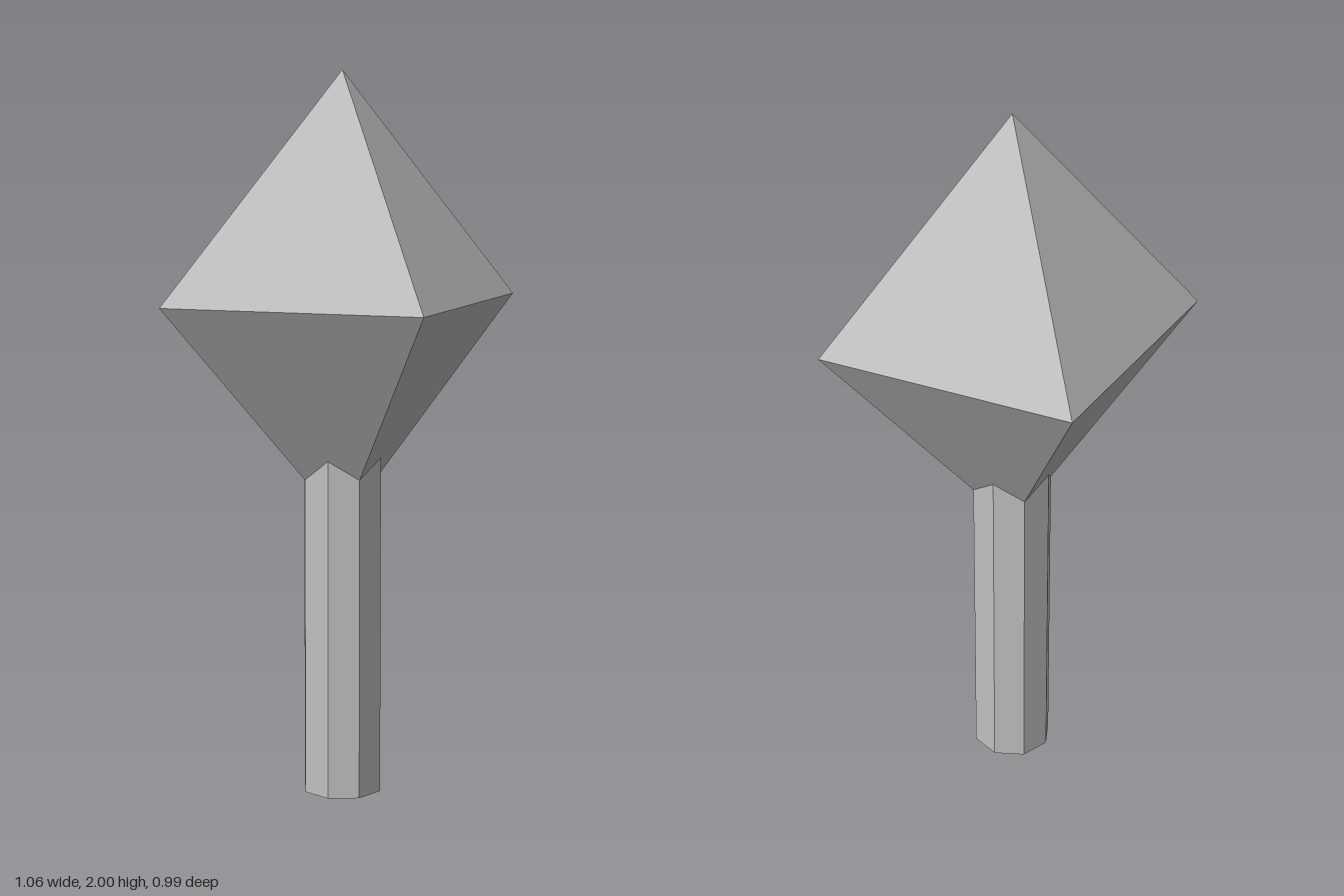
import * as THREE from 'three';

export function createModel() {
  const model = new THREE.Group();
  model.name = 'tree';

  const grey = new THREE.MeshStandardMaterial({ color: 0xc0c0c0, flatShading: true });
  grey.name = 'plain grey';

  // Eight-sided trunk, its top hidden inside the crown
  const trunkHeight = 0.96;
  const trunk = new THREE.Mesh(new THREE.CylinderGeometry(0.113, 0.113, trunkHeight, 8), grey);
  trunk.name = 'trunk';
  trunk.position.y = trunkHeight / 2;
  model.add(trunk);

  // Crown: octahedron stretched upward, slightly wider than deep
  const crownGeometry = new THREE.OctahedronGeometry(1, 0);
  crownGeometry.scale(0.53, 0.622, 0.497);
  const crown = new THREE.Mesh(crownGeometry, grey);
  crown.name = 'crown';
  crown.position.y = 1.378;
  model.add(crown);

  return model;
}
